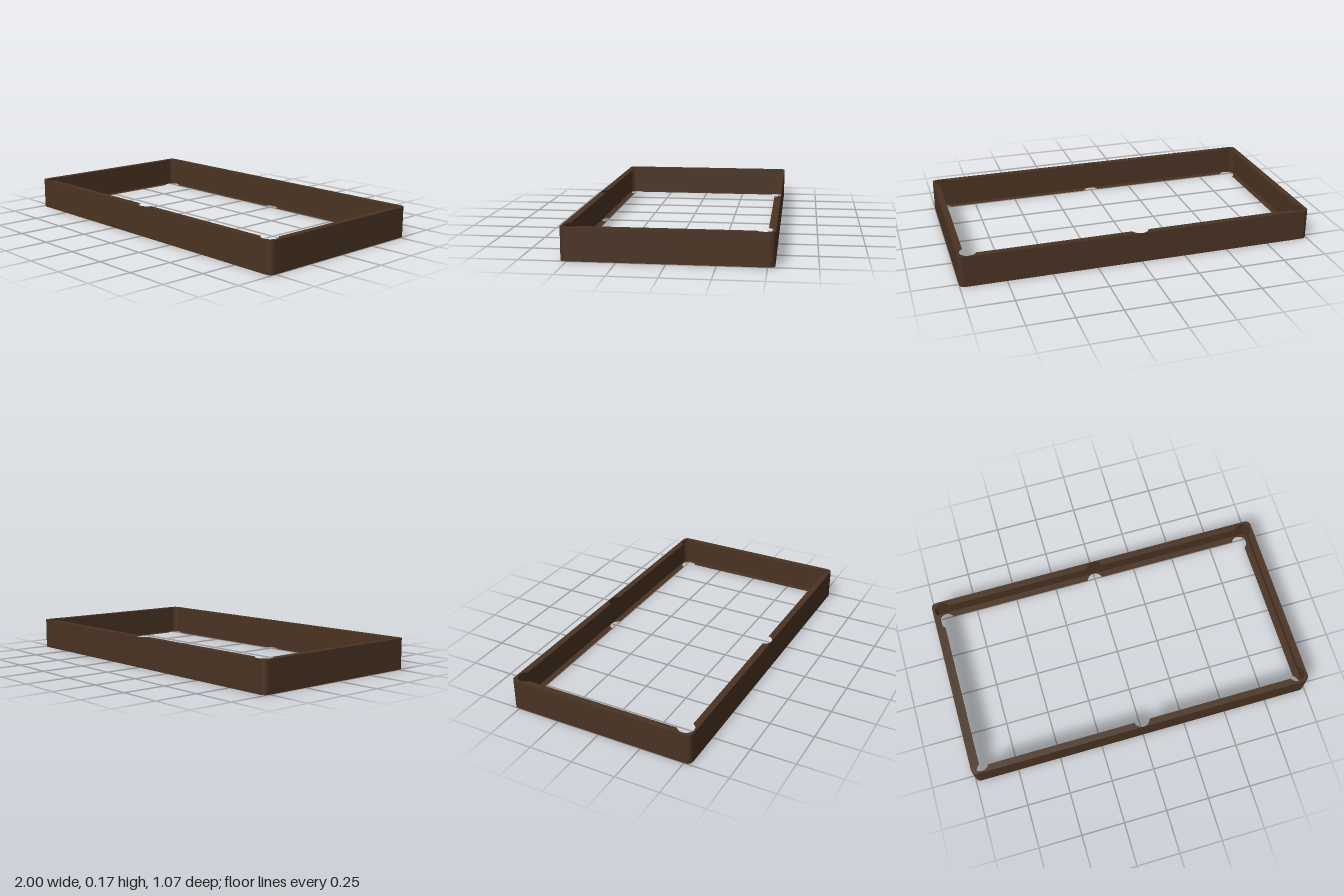
import * as THREE from 'three';

const HX = 1, HZ = 0.537, H = 0.174;   // outer half sizes and height
const IX = 0.963, IZ = 0.5;            // opening half sizes
const R = 0.03;                        // outer corner radius
const STEPS = 8;

// Outer corners in order, with the start angle of each quarter arc
const corners = [[1, 1], [-1, 1], [-1, -1], [1, -1]].map(([sx, sz], i) => ({
  x: sx * (HX - R), z: sz * (HZ - R), start: i * Math.PI / 2,
}));

// Flat ring: rounded rectangle with an opening notched by six round pockets
function rimShape() {
  const shape = new THREE.Shape();
  for (const c of corners) shape.absarc(c.x, c.z, R, c.start, c.start + Math.PI / 2, false);
  shape.closePath();

  const cx = 0.94, cz = 0.482, cr = 0.045;   // corner pockets
  const mz = 0.49, mr = 0.046;               // middle pockets
  const a0 = -Math.acos((IX - cx) / cr);
  const a1 = Math.PI - Math.asin((IZ - cz) / cr);
  const m0 = Math.asin((IZ - mz) / mr);
  const hole = new THREE.Path();
  for (const s of [1, -1]) {
    const turn = s > 0 ? 0 : Math.PI;
    hole.absarc(s * cx, s * cz, cr, a0 + turn, a1 + turn, false);
    hole.absarc(0, s * mz, mr, m0 + turn, Math.PI - m0 + turn, false);
    hole.absarc(-s * cx, s * cz, cr, Math.PI - a1 + turn, Math.PI - a0 + turn, false);
  }
  hole.closePath();
  shape.holes.push(hole);
  return shape;
}

// Thin outer skirt that follows the rounded rectangle
function skirtGeometry() {
  const pos = [], nor = [], idx = [];
  for (const c of corners) {
    for (let i = 0; i <= STEPS; i++) {
      const a = c.start + (i / STEPS) * Math.PI / 2;
      const nx = Math.cos(a), nz = Math.sin(a);
      for (const y of [0, H]) {
        pos.push(c.x + R * nx, y, c.z + R * nz);
        nor.push(nx, 0, nz);
      }
    }
  }
  const n = pos.length / 6;
  for (let i = 0; i < n; i++) {
    const a = 2 * i, b = 2 * ((i + 1) % n);
    idx.push(a, a + 1, b, b, a + 1, b + 1);
  }
  const g = new THREE.BufferGeometry();
  g.setAttribute('position', new THREE.Float32BufferAttribute(pos, 3));
  g.setAttribute('normal', new THREE.Float32BufferAttribute(nor, 3));
  g.setIndex(idx);
  return g;
}

export function createModel() {
  const group = new THREE.Group();
  group.name = 'tableFrame';
  const wood = new THREE.MeshStandardMaterial({ color: 0x4a3322, side: THREE.DoubleSide });
  wood.name = 'darkWood';

  const add = (name, geometry, y = 0) => {
    const mesh = new THREE.Mesh(geometry, wood);
    mesh.name = name;
    mesh.position.y = y;
    group.add(mesh);
  };

  add('outerSkirt', skirtGeometry());
  const shape = rimShape();
  add('topRim', new THREE.ShapeGeometry(shape, 20).rotateX(-Math.PI / 2), H);
  add('bottomRim', new THREE.ShapeGeometry(shape, 20).rotateX(Math.PI / 2));
  return group;
}
